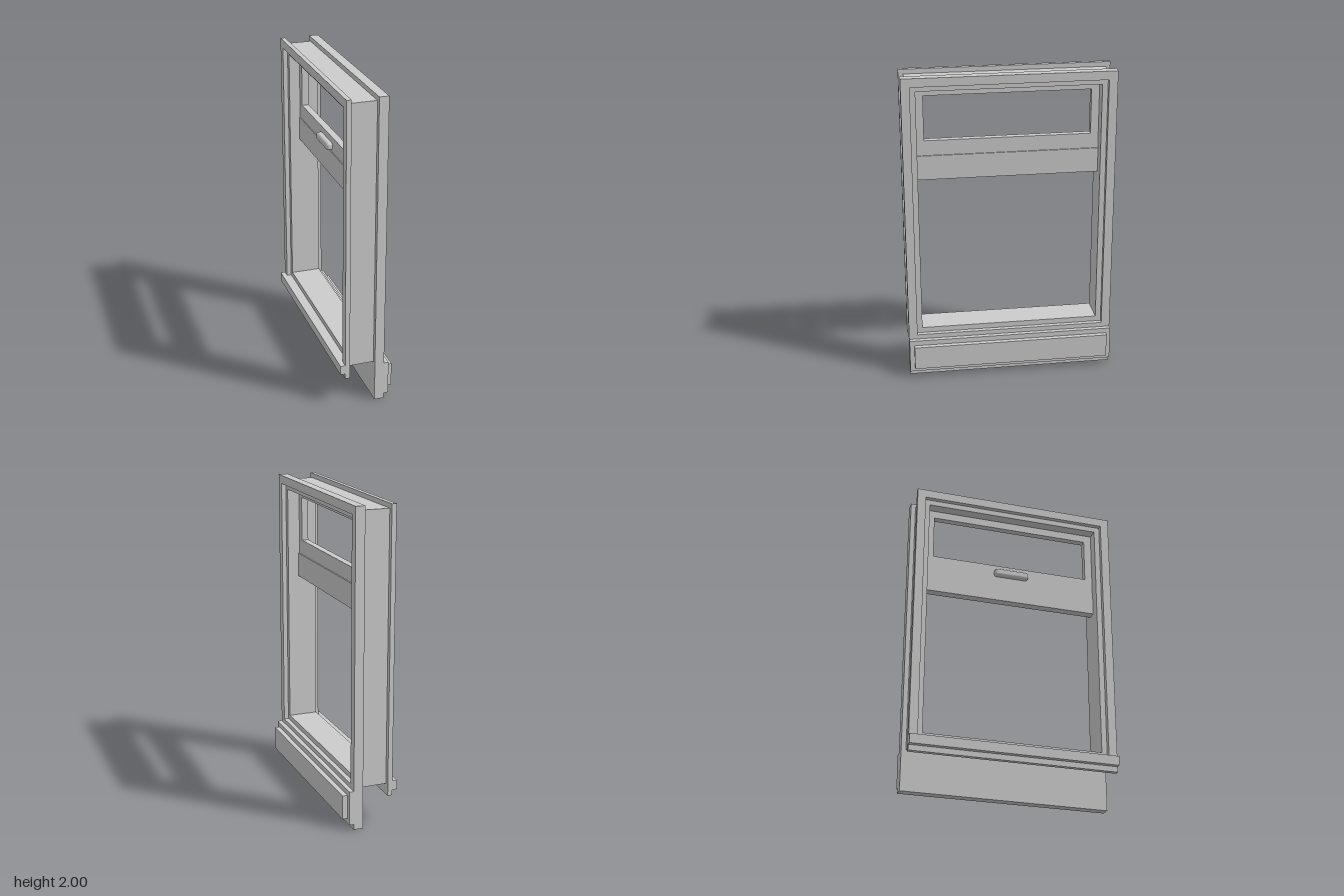
import * as THREE from 'three';
import { RoundedBoxGeometry } from 'three/addons/geometries/RoundedBoxGeometry.js';

const material = new THREE.MeshStandardMaterial({ color: 0xcccccc });

export function createModel() {
  const group = new THREE.Group();

  function add(name, geometry) {
    const mesh = new THREE.Mesh(geometry, material);
    mesh.name = name;
    group.add(mesh);
    return mesh;
  }

  // Solid bar from x0..x1, y0..y1, centred on z
  function bar(name, x0, x1, y0, y1, halfZ) {
    const mesh = add(name, new THREE.BoxGeometry(x1 - x0, y1 - y0, halfZ * 2));
    mesh.position.set((x0 + x1) / 2, (y0 + y1) / 2, 0);
  }

  // Rectangular frame in the YZ plane; outer and inner are [halfZ, bottom, top]
  function frame(name, x0, x1, outer, inner) {
    const corners = ([h, b, t]) => [[-h, b], [h, b], [h, t], [-h, t]].map(p => new THREE.Vector2(...p));
    const shape = new THREE.Shape(corners(outer));
    shape.holes.push(new THREE.Path(corners(inner)));
    const geometry = new THREE.ExtrudeGeometry(shape, { depth: x1 - x0, bevelEnabled: false });
    geometry.rotateY(Math.PI / 2);
    geometry.translate(x0, 0, 0);
    add(name, geometry);
  }

  // Casings on both faces of the wall and the jamb lining between them
  const rebate = [0.61, 0.285, 1.945];
  frame('outerCasing', 0.05, 0.11, [0.665, 0, 2], rebate);
  frame('innerCasing', -0.145, -0.115, [0.665, 0.19, 2], rebate);
  frame('jambLining', -0.115, 0.05, [0.635, 0.26, 1.97], [0.575, 0.32, 1.91]);
  frame('outerStop', 0.05, 0.08, rebate, [0.575, 0.32, 1.91]);

  // Stepped outer apron and the inner stool
  bar('apron', 0.11, 0.14, 0.035, 0.255, 0.665);
  bar('apronPanel', 0.14, 0.172, 0.068, 0.222, 0.635);
  bar('stool', -0.176, -0.145, 0.225, 0.285, 0.665);

  // Upper sash with the raised lower sash rail beneath it
  frame('upperSash', -0.045, 0, [0.575, 1.475, 1.91], [0.525, 1.572, 1.86]);
  bar('lowerSashRail', -0.05, 0.008, 1.318, 1.475, 0.575);

  // Rounded pull handle on the inner face of the sash
  const handle = add('handle', new RoundedBoxGeometry(0.045, 0.05, 0.23, 4, 0.018));
  handle.position.set(-0.06, 1.512, 0);

  return group;
}
